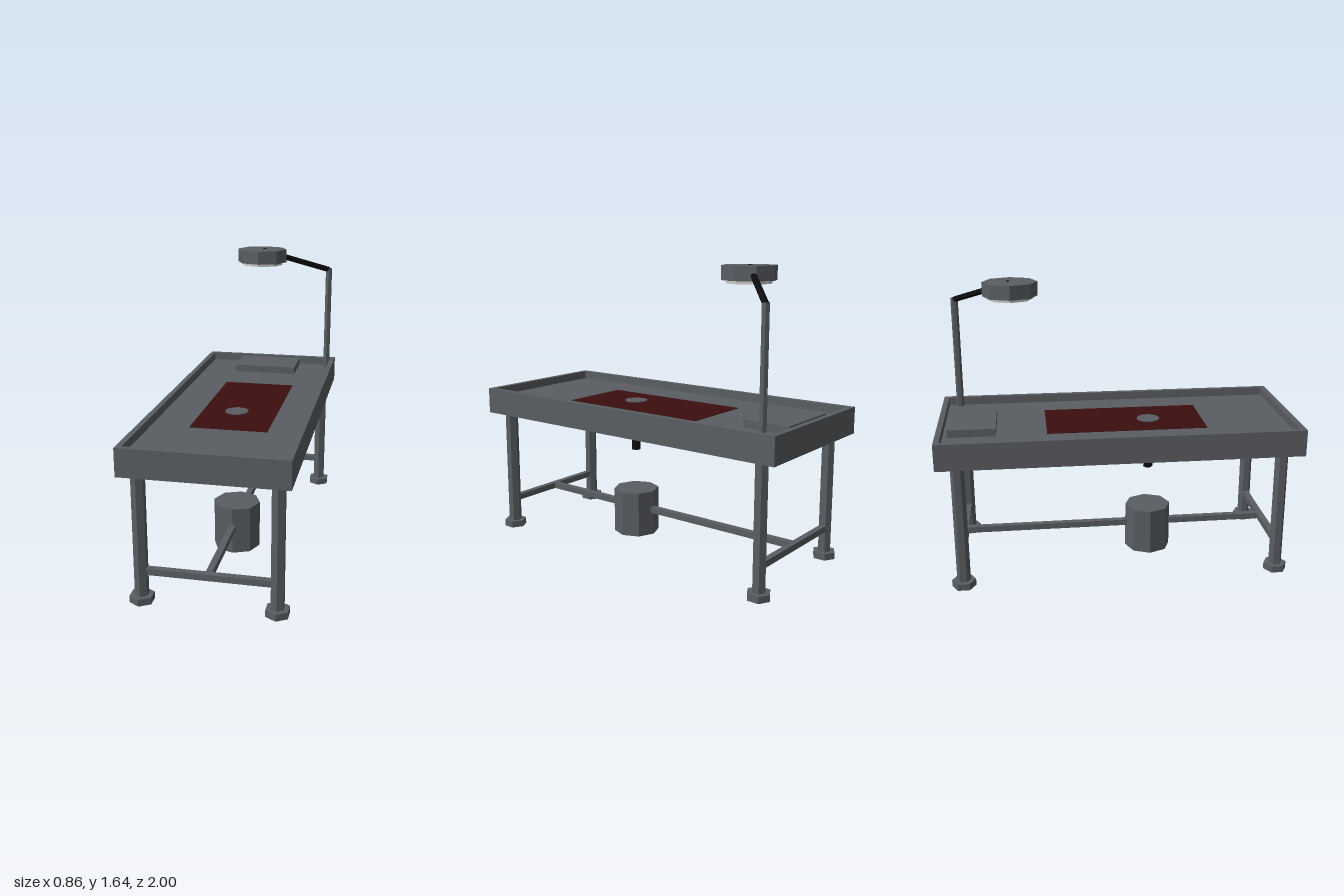
import * as THREE from 'three';

export function createModel() {
  const model = new THREE.Group();
  const material = (name, color) => {
    const m = new THREE.MeshStandardMaterial({ color, flatShading: true });
    m.name = name;
    return m;
  };
  const steel = material('steel', 0x5a5e62);
  const black = material('black', 0x0c0c0c);
  const red = material('dark red', 0x3d0e0f);
  const lens = material('lamp lens', 0xc8c8c4);

  const add = (name, geometry, mat, x, y, z) => {
    const mesh = new THREE.Mesh(geometry, mat);
    mesh.name = name;
    mesh.position.set(x, y, z);
    model.add(mesh);
    return mesh;
  };
  // Boxes and prisms are placed by their bottom and top heights
  const box = (name, mat, w, d, y0, y1, x, z) =>
    add(name, new THREE.BoxGeometry(w, y1 - y0, d), mat, x, (y0 + y1) / 2, z);
  const prism = (name, mat, r, sides, y0, y1, x, z) =>
    add(name, new THREE.CylinderGeometry(r, r, y1 - y0, sides), mat, x, (y0 + y1) / 2, z);

  // Table tray: solid bed with a raised rim
  const W = 0.428, rim = 0.03, floor = 0.82, top = 0.867;
  box('tableBed', steel, 2 * W, 2, 0.718, floor, 0, 0);
  const outline = new THREE.Shape([
    new THREE.Vector2(-W, -1), new THREE.Vector2(W, -1),
    new THREE.Vector2(W, 1), new THREE.Vector2(-W, 1),
  ]);
  const a = W - rim, b = 1 - rim;
  outline.holes.push(new THREE.Path([
    new THREE.Vector2(-a, -b), new THREE.Vector2(-a, b),
    new THREE.Vector2(a, b), new THREE.Vector2(a, -b),
  ]));
  const rimGeometry = new THREE.ExtrudeGeometry(outline, { depth: top - floor, bevelEnabled: false });
  rimGeometry.rotateX(-Math.PI / 2);
  add('tableRim', rimGeometry, steel, 0, floor, 0);

  // Things lying in the tray
  box('headRest', steel, 0.39, 0.265, floor, 0.863, 0, -0.812);
  box('stain', red, 0.415, 0.9, floor, floor + 0.003, 0.0175, 0.05);
  prism('drain', steel, 0.066, 12, floor, floor + 0.008, 0, 0.19);

  // Legs, feet and stretchers
  const legX = 0.352, legZ = 0.888;
  for (const sz of [-1, 1]) {
    for (const sx of [-1, 1]) {
      prism('leg', steel, 0.0375, 6, 0.02, 0.72, sx * legX, sz * legZ);
      prism('foot', steel, 0.066, 6, 0, 0.038, sx * legX, sz * legZ);
    }
    box('crossBar', steel, 2 * legX, 0.035, 0.157, 0.192, 0, sz * legZ);
  }
  box('longBar', steel, 0.035, 2 * legZ, 0.157, 0.192, 0, 0);

  // Drain pipe and the bucket under it
  prism('drainPipe', black, 0.027, 6, 0.527, 0.72, 0, 0.193);
  prism('bucket', steel, 0.133, 8, 0.022, 0.288, 0, 0.193);

  // Lamp: post, slanted arm, head and lens
  prism('lampPost', steel, 0.0215, 6, floor, 1.48, 0.38, -0.904);
  const from = new THREE.Vector3(0.38, 1.472, -0.904);
  const to = new THREE.Vector3(0.005, 1.622, -0.58);
  const along = to.clone().sub(from);
  const mid = from.clone().add(to).multiplyScalar(0.5);
  const arm = add('lampArm', new THREE.CylinderGeometry(0.017, 0.017, along.length(), 6), black, mid.x, mid.y, mid.z);
  arm.quaternion.setFromUnitVectors(new THREE.Vector3(0, 1, 0), along.normalize());
  prism('lampHead', steel, 0.15, 8, 1.555, 1.632, 0, -0.575);
  prism('lampLens', lens, 0.123, 8, 1.538, 1.556, 0, -0.575);

  return model;
}
